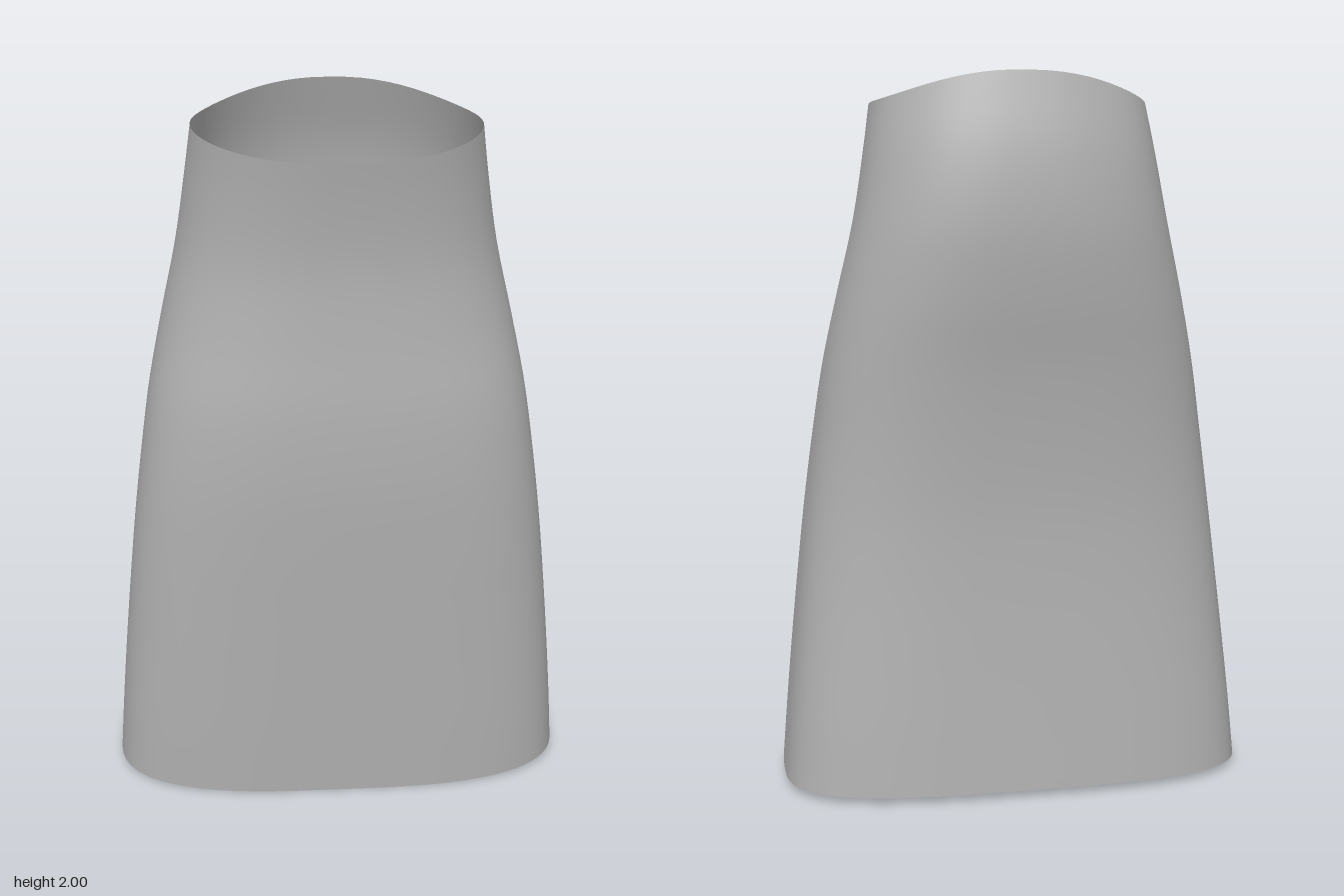
import * as THREE from 'three';
import { mergeVertices } from 'three/addons/utils/BufferGeometryUtils.js';

// Profile rows: height, half width, front z, back z, squareness of the section
const PROFILE = [
  [0.0, 0.672, 0.32, -0.335, 3.3],
  [0.2, 0.655, 0.328, -0.319, 3.3],
  [0.4, 0.636, 0.336, -0.304, 3.2],
  [0.6, 0.615, 0.344, -0.292, 3.1],
  [0.8, 0.592, 0.352, -0.287, 3.0],
  [1.0, 0.565, 0.357, -0.295, 2.9],
  [1.2, 0.534, 0.35, -0.313, 2.8],
  [1.4, 0.492, 0.331, -0.341, 2.6],
  [1.6, 0.446, 0.321, -0.354, 2.5],
  [1.8, 0.412, 0.337, -0.335, 2.4],
  [2.0, 0.382, 0.368, -0.28, 2.3],
];

// Smooth (Catmull-Rom) lookup of a profile column at height y
function sample(column, y) {
  const last = PROFILE.length - 1;
  const u = THREE.MathUtils.clamp(y / 0.2, 0, last);
  const i = Math.min(Math.floor(u), last - 1), t = u - i;
  const at = (k) => PROFILE[THREE.MathUtils.clamp(k, 0, last)][column];
  const p1 = at(i), p2 = at(i + 1);
  const p0 = i > 0 ? at(i - 1) : 2 * p1 - p2;
  const p3 = i < last - 1 ? at(i + 2) : 2 * p2 - p1;
  return 0.5 * (2 * p1 + (p2 - p0) * t + (2 * p0 - 5 * p1 + 4 * p2 - p3) * t * t
    + (3 * p1 - p0 - 3 * p2 + p3) * t * t * t);
}

const power = (v, e) => Math.sign(v) * Math.pow(Math.abs(v), e);

export function createModel() {
  const model = new THREE.Group();
  const cloth = new THREE.MeshStandardMaterial({ color: 0xb0b0b0, side: THREE.DoubleSide });
  cloth.name = 'grey cloth';

  // Open tube whose rings become rounded sections of the skirt
  let geometry = new THREE.CylinderGeometry(1, 1, 1, 64, 40, true);
  const pos = geometry.attributes.position;
  for (let i = 0; i < pos.count; i++) {
    const s = pos.getX(i), c = pos.getZ(i), v = pos.getY(i) + 0.5;

    // Hem dips slightly in front; waist dips in front and rises behind
    const depth = power(c, 2 / 2.3);
    const hem = 0.02 - (c > 0 ? 0.02 * c ** 3 : 0);
    const waist = 1.93 + (depth > 0 ? -0.05 * depth ** 2 : 0.07 * Math.abs(depth) ** 3.2);
    const y = THREE.MathUtils.lerp(hem, waist, v);

    const front = sample(2, y), back = sample(3, y), e = 2 / sample(4, y);
    const x = sample(1, y) * power(s, e);
    const z = (front + back) / 2 + (front - back) / 2 * power(c, e);
    pos.setXYZ(i, x, y, z);
  }

  // Weld the seam so shading is smooth all round
  geometry.deleteAttribute('uv');
  geometry.deleteAttribute('normal');
  geometry = mergeVertices(geometry, 1e-4);
  geometry.computeVertexNormals();

  const skirt = new THREE.Mesh(geometry, cloth);
  skirt.name = 'skirt';
  model.add(skirt);
  return model;
}
